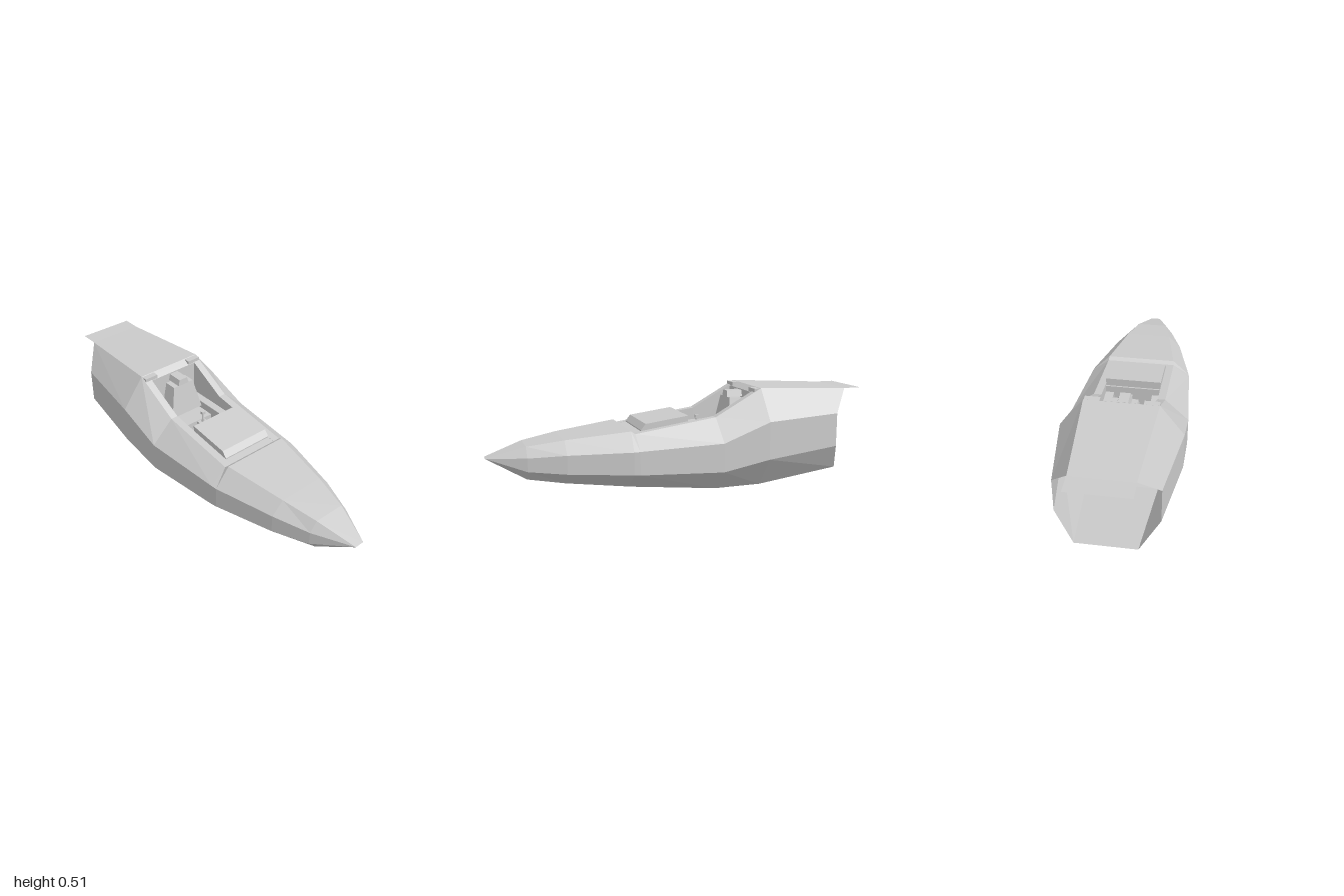
import * as THREE from 'three';

const material = new THREE.MeshStandardMaterial({ color: 0xcccccc, flatShading: true, side: THREE.DoubleSide });

// Hull stations from stern to bow: deck edge, upper chine, lower chine, bottom edge as [x, y, z]
const stations = [
  [[-0.9, 0.485, 0.148], [-0.805, 0.367, 0.243], [-0.805, 0.19, 0.243], [-0.855, 0.05, 0.148]],
  [[-0.385, 0.512, 0.182], [-0.385, 0.355, 0.302], [-0.385, 0.16, 0.302], [-0.385, 0.003, 0.182]],
  [[-0.135, 0.375, 0.182], [-0.135, 0.262, 0.302], [-0.135, 0.115, 0.302], [-0.135, 0.002, 0.182]],
  [[0.29, 0.316, 0.182], [0.29, 0.245, 0.27], [0.29, 0.128, 0.27], [0.29, 0.044, 0.163]],
  [[0.31, 0.33, 0.179], [0.32, 0.243, 0.266], [0.32, 0.13, 0.266], [0.32, 0.047, 0.16]],
  [[0.63, 0.297, 0.123], [0.63, 0.234, 0.187], [0.63, 0.141, 0.187], [0.63, 0.08, 0.115]],
  [[0.81, 0.27, 0.083], [0.81, 0.22, 0.122], [0.81, 0.153, 0.122], [0.81, 0.106, 0.077]],
  [[1, 0.212, 0.025], [1, 0.212, 0.025], [1, 0.212, 0.025], [1, 0.212, 0.025]],
];

const flip = ([x, y, z]) => [x, y, -z];

// Faceted sheet from a list of four-cornered panels
function sheet(name, quads) {
  const pos = [];
  for (const [a, b, c, d] of quads) pos.push(...a, ...b, ...c, ...a, ...c, ...d);
  const geo = new THREE.BufferGeometry();
  geo.setAttribute('position', new THREE.Float32BufferAttribute(pos, 3));
  geo.computeVertexNormals();
  const mesh = new THREE.Mesh(geo, material);
  mesh.name = name;
  return mesh;
}

// Panels plus their mirror images across z = 0
const mirrored = quads => [...quads, ...quads.map(q => q.map(flip).reverse())];
// Panel spanning the boat between two edge points
const across = (a, b) => [a, b, flip(b), flip(a)];

function box(name, x0, x1, y0, y1, z0, z1) {
  const mesh = new THREE.Mesh(new THREE.BoxGeometry(x1 - x0, y1 - y0, z1 - z0), material);
  mesh.position.set((x0 + x1) / 2, (y0 + y1) / 2, (z0 + z1) / 2);
  mesh.name = name;
  return mesh;
}

// Side profile extruded across the boat, narrowed toward its top
function wedge(name, profile, halfWidth, topHalfWidth = halfWidth) {
  const shape = new THREE.Shape(profile.map(p => new THREE.Vector2(...p)));
  const geo = new THREE.ExtrudeGeometry(shape, { depth: 2, bevelEnabled: false });
  geo.translate(0, 0, -1);
  const ys = profile.map(p => p[1]), low = Math.min(...ys), high = Math.max(...ys);
  const p = geo.attributes.position;
  for (let i = 0; i < p.count; i++) {
    const t = (p.getY(i) - low) / (high - low);
    p.setZ(i, p.getZ(i) * THREE.MathUtils.lerp(halfWidth, topHalfWidth, t));
  }
  geo.computeVertexNormals();
  const mesh = new THREE.Mesh(geo, material);
  mesh.name = name;
  return mesh;
}

export function createModel() {
  const model = new THREE.Group();
  model.name = 'speedboat';

  // Hull sides and bottom, open at the stern
  const sides = [], bottom = [], bowDeck = [];
  for (let i = 0; i < stations.length - 1; i++) {
    const a = stations[i], b = stations[i + 1];
    for (let k = 0; k < 3; k++) sides.push([a[k], a[k + 1], b[k + 1], b[k]]);
    bottom.push(across(b[3], a[3]));
    if (i >= 3) bowDeck.push(across(a[0], b[0]));
  }
  model.add(sheet('hullSides', mirrored(sides)));
  model.add(sheet('hullBottom', bottom));
  model.add(sheet('bowDeck', bowDeck));

  // Rear deck with overhanging tail
  const [stern, rear, mid, front] = stations.map(s => s[0]);
  model.add(sheet('rearDeck', [across([-1, 0.485, 0.148], stern), across(stern, rear)]));

  // Cockpit ledges and inner walls
  const inner = ([x, y]) => [x, y, 0.143];
  const floorY = 0.22;
  const ledges = [], walls = [];
  for (const [a, b] of [[rear, mid], [mid, front]]) {
    ledges.push([a, b, inner(b), inner(a)]);
    walls.push([inner(a), inner(b), [b[0], floorY, 0.143], [a[0], floorY, 0.143]]);
  }
  model.add(sheet('cockpitLedges', mirrored(ledges)));
  model.add(sheet('cockpitWalls', mirrored(walls)));
  model.add(sheet('cockpitFloor', [across([-0.385, floorY, 0.143], [0.29, floorY, 0.143])]));
  model.add(sheet('rearBulkhead', [
    across([-0.385, 0.512, 0.182], [-0.35, 0.488, 0.143]),
    across([-0.35, 0.488, 0.143], [-0.35, floorY, 0.143]),
  ]));

  // Front hatch and the shelf it sits on
  model.add(wedge('frontHatch', [[0, 0.32], [0.25, 0.305], [0.25, 0.326], [0.225, 0.356], [0, 0.385]], 0.143));
  model.add(sheet('hatchShelf', [across([-0.01, 0.345, 0.143], [0.29, 0.316, 0.143])]));
  model.add(sheet('footwellWall', [across([-0.01, 0.345, 0.143], [-0.01, floorY, 0.143])]));

  // Side consoles and corner blocks
  for (const s of [1, -1]) {
    const [z0, z1] = s > 0 ? [0.1, 0.143] : [-0.143, -0.1];
    model.add(box('sideConsole', -0.35, -0.01, floorY, 0.31, z0, z1));
    const [c0, c1] = s > 0 ? [0.105, 0.18] : [-0.18, -0.105];
    model.add(box('cornerBlock', -0.385, -0.35, 0.49, 0.51, c0, c1));
  }

  // Seat: cushion, tapered backrest and headrest
  model.add(box('seatCushion', -0.27, -0.135, floorY, 0.285, -0.085, 0.085));
  model.add(wedge('seatBack', [[-0.33, 0.285], [-0.235, 0.285], [-0.262, 0.452], [-0.33, 0.452]], 0.1, 0.063));
  model.add(wedge('headrest', [[-0.345, 0.452], [-0.26, 0.452], [-0.262, 0.485], [-0.345, 0.485]], 0.034, 0.025));

  // Control stick on its pedestal
  model.add(box('stickPedestal', -0.12, -0.075, floorY, 0.295, -0.024, 0.024));
  const stick = new THREE.Mesh(new THREE.CylinderGeometry(0.005, 0.008, 0.06, 6), material);
  stick.position.set(-0.1, 0.322, 0);
  stick.name = 'controlStick';
  model.add(stick);
  model.add(box('stickGrip', -0.109, -0.091, 0.345, 0.36, -0.01, 0.01));

  return model;
}
